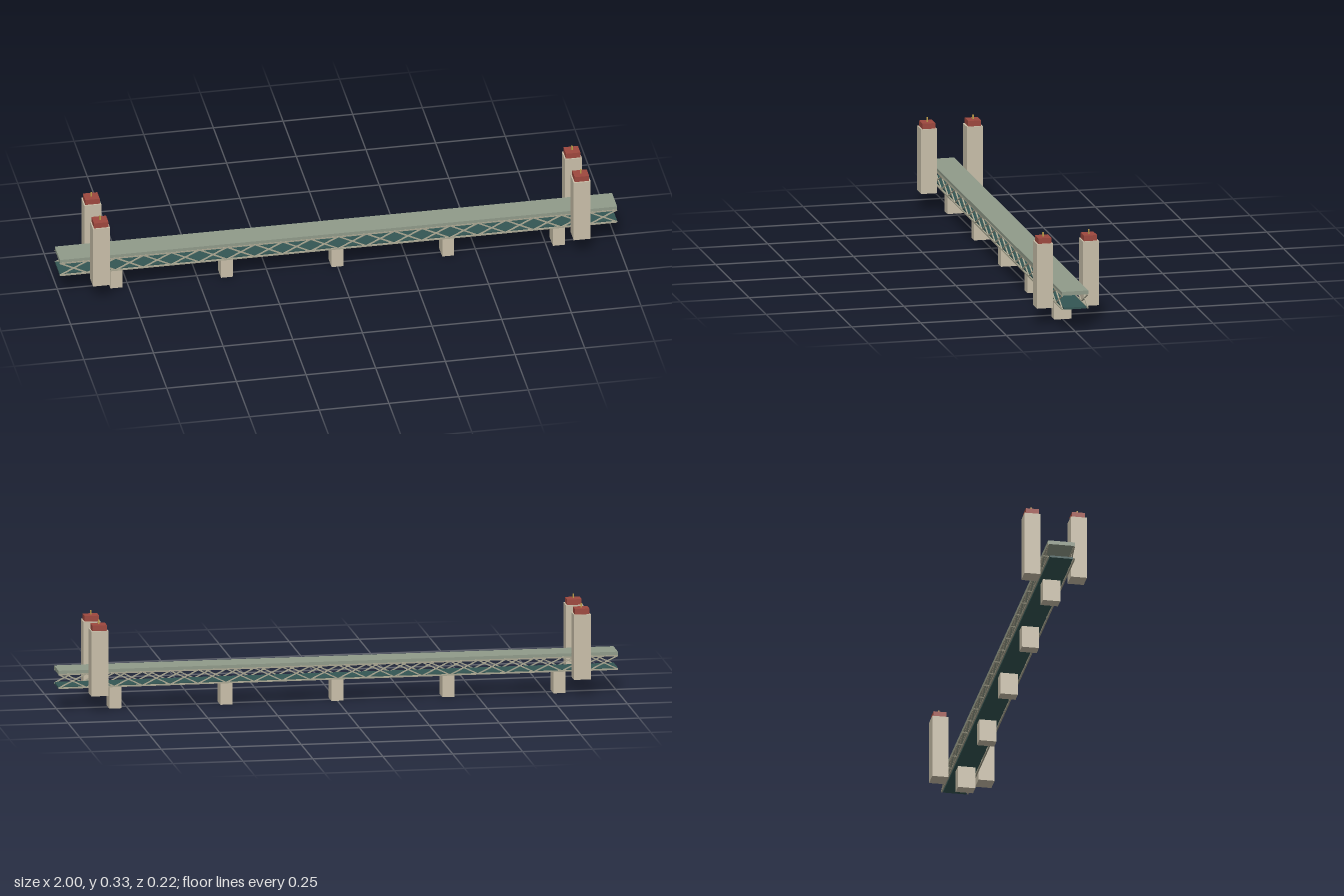
import * as THREE from 'three';

const mat = (name, color) => {
  const m = new THREE.MeshStandardMaterial({ color });
  m.name = name;
  return m;
};

export function createModel() {
  const model = new THREE.Group();
  model.name = 'doubleDeckBridge';
  const stone = mat('stone', 0xc9bfa9);
  const deckGreen = mat('greyGreenDeck', 0x909b8a);
  const teal = mat('darkTeal', 0x345654);
  const steel = mat('paleSteel', 0xaaa792);
  const red = mat('roofRed', 0x9e483e);
  const gold = mat('gold', 0xbb9b48);

  const box = (name, material, size, pos, parent = model) => {
    const mesh = new THREE.Mesh(new THREE.BoxGeometry(...size), material);
    mesh.name = name;
    mesh.position.set(...pos);
    parent.add(mesh);
    return mesh;
  };

  // Decks: wide road above, narrower railway below
  box('upperDeck', deckGreen, [2, 0.014, 0.096], [0, 0.139, 0]);
  box('lowerDeck', teal, [2, 0.007, 0.082], [0, 0.0845, 0]);

  // Piers under the lower deck
  for (let i = -2; i <= 2; i++) {
    box('pier', stone, [0.043, 0.081, 0.062], [i * 0.397, 0.0405, 0]);
  }

  // Side trusses: two chords and a row of crossed braces
  const panels = 20, step = 2 / panels, low = 0.083, high = 0.132;
  const rise = high - low, length = Math.hypot(step, rise), angle = Math.atan2(rise, step);
  for (const side of [-1, 1]) {
    const truss = new THREE.Group();
    truss.name = side > 0 ? 'frontTruss' : 'backTruss';
    truss.position.z = side * 0.0465;
    model.add(truss);
    for (const y of [low, high]) box('chord', steel, [2, 0.005, 0.005], [0, y, 0], truss);
    for (let i = 0; i < panels; i++) {
      for (const dir of [-1, 1]) {
        const brace = box('brace', steel, [length, 0.004, 0.004],
          [-1 + (i + 0.5) * step, (low + high) / 2, 0], truss);
        brace.rotation.z = dir * angle;
      }
    }
  }

  // Four bridgehead towers with red caps and thin finials
  for (const x of [-0.8625, 0.8625]) {
    for (const z of [-0.083, 0.083]) {
      const tower = new THREE.Group();
      tower.name = 'tower';
      tower.position.set(x, 0, z);
      model.add(tower);
      box('towerShaft', stone, [0.061, 0.234, 0.058], [0, 0.18, 0], tower);
      box('towerCap', red, [0.052, 0.02, 0.047], [0, 0.307, 0], tower);
      box('finial', gold, [0.005, 0.016, 0.005], [0, 0.325, 0], tower);
    }
  }
  return model;
}
